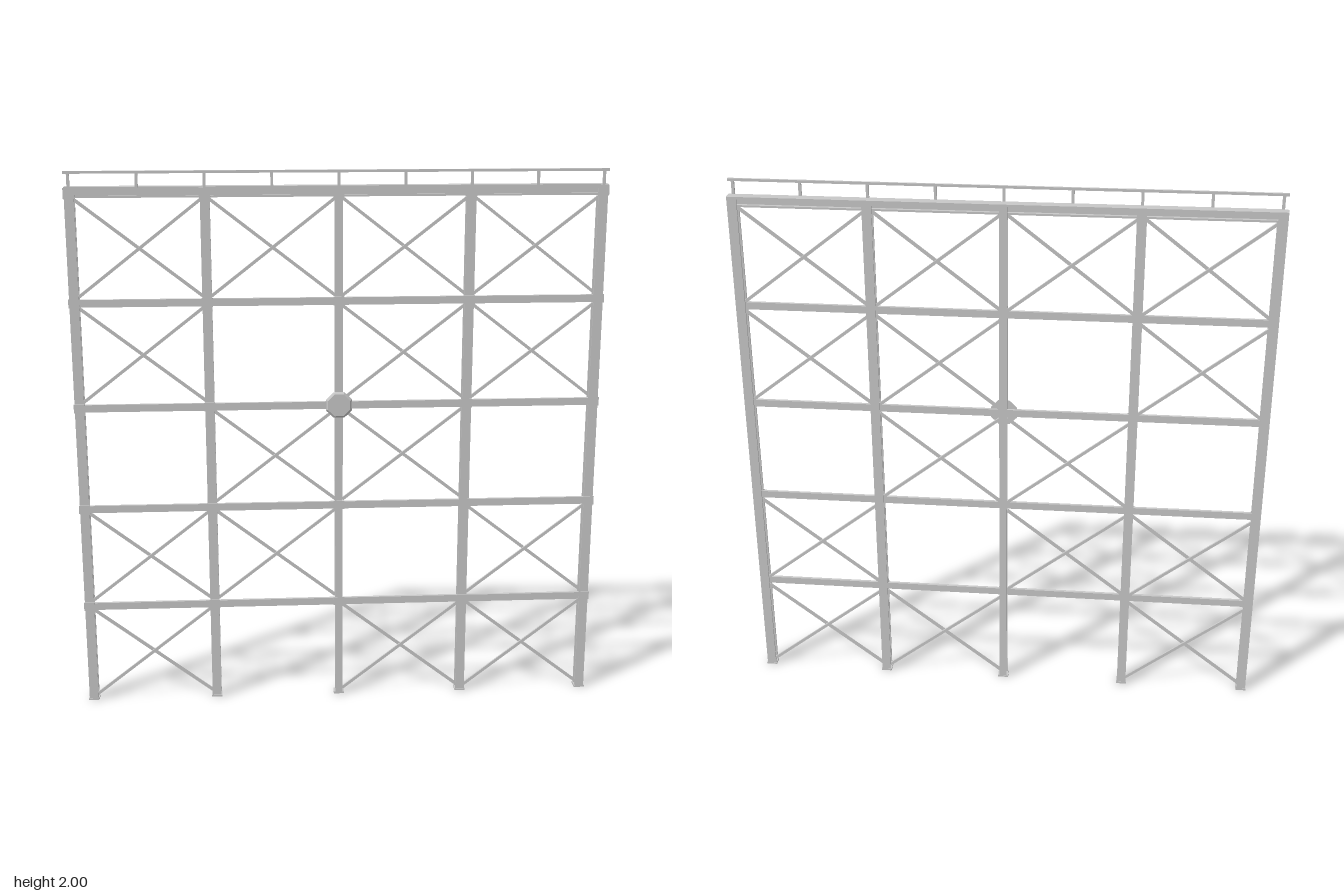
import * as THREE from 'three';

const steel = new THREE.MeshStandardMaterial({ color: 0xc8c8c8 });
steel.name = 'galvanised steel';

const columnX = [-0.94, -0.47, 0, 0.47, 0.94];
const levels = [0, 0.384, 0.768, 1.152, 1.536, 1.92];
// Bays with cross bracing, bottom row first
const braced = ['X.XX', 'XX.X', '.XX.', 'X.XX', 'XXXX'];
const BACK = -0.02, FRONT = 0.015;

export function createModel() {
  const model = new THREE.Group();
  model.name = 'scaffoldFrame';

  function add(name, geometry, parent = model) {
    const mesh = new THREE.Mesh(geometry, steel);
    mesh.name = name;
    parent.add(mesh);
    return mesh;
  }
  // Box given by its limits on each axis
  function box(name, x0, x1, y0, y1, z0, z1, parent) {
    const mesh = add(name, new THREE.BoxGeometry(x1 - x0, y1 - y0, z1 - z0), parent);
    mesh.position.set((x0 + x1) / 2, (y0 + y1) / 2, (z0 + z1) / 2);
    return mesh;
  }

  // H-section columns with base plates
  for (const x of columnX) {
    const column = new THREE.Group();
    column.name = 'column';
    model.add(column);
    const w = x === 0 ? 0.014 : 0.017;
    box('backFlange', x - w, x + w, 0, 1.942, BACK, BACK + 0.006, column);
    box('frontFlange', x - w, x + w, 0, 1.942, FRONT - 0.006, FRONT, column);
    box('web', x - 0.004, x + 0.004, 0, 1.942, BACK + 0.006, FRONT - 0.006, column);
    box('basePlate', x - 0.02, x + 0.02, 0, 0.007, -0.021, 0.017, column);
  }

  // Horizontal beams and the connection plates at each column
  for (const y of levels.slice(1, 5)) {
    box('beam', -0.957, 0.957, y - 0.0135, y + 0.0135, 0.006, 0.0175);
    for (const x of columnX) {
      box('connectionPlate', x - 0.02, x + 0.02, y - 0.016, y + 0.016, FRONT, 0.019);
    }
  }

  // Top girder: deck, recessed web and lower flange
  box('deck', -0.957, 0.957, 1.937, 1.945, -0.022, 0.016);
  box('girderWeb', -0.955, 0.955, 1.914, 1.937, -0.001, 0.01);
  box('girderFlange', -0.955, 0.955, 1.907, 1.914, -0.014, 0.016);
  for (const x of columnX) {
    box('connectionPlate', x - 0.02, x + 0.02, 1.905, 1.942, FRONT, 0.018);
  }

  // Crossed diagonal braces
  braced.forEach((row, r) => [...row].forEach((mark, c) => {
    if (mark !== 'X') return;
    const dx = 0.47 - 0.034, dy = 0.384 - 0.044;
    for (const side of [-1, 1]) {
      const brace = add('brace', new THREE.BoxGeometry(Math.hypot(dx, dy) + 0.01, 0.011, 0.007));
      brace.position.set((columnX[c] + columnX[c + 1]) / 2, (levels[r] + levels[r + 1]) / 2, side * 0.0035);
      brace.rotation.z = side * Math.atan2(dy, dx);
    }
  }));

  // Handrail along the front edge
  box('handrail', -0.957, 0.957, 1.991, 2, 0.012, 0.021);
  for (let i = 0; i < 9; i++) {
    const x = -0.94 + i * 0.235;
    box('railPost', x - 0.005, x + 0.005, 1.942, 1.991, 0.012, 0.02);
  }

  // Tapered octagonal plate at the centre node
  const disc = add('centrePlate', new THREE.CylinderGeometry(0.044, 0.052, 0.007, 8).toNonIndexed());
  disc.geometry.rotateY(Math.PI / 8);
  disc.geometry.computeVertexNormals();
  disc.rotation.x = Math.PI / 2;
  disc.position.set(0, levels[3], 0.0185);

  return model;
}
